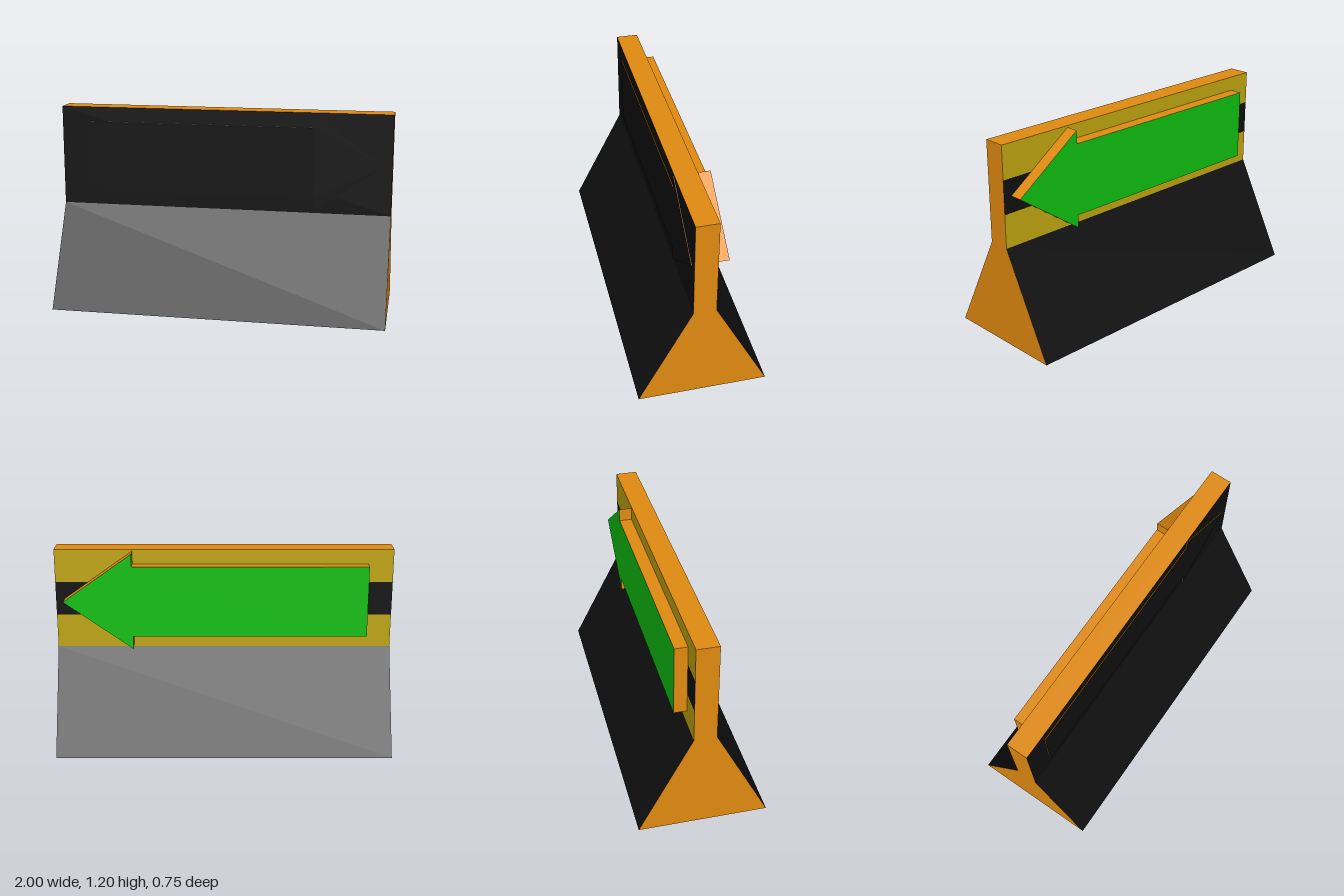
import * as THREE from 'three';

const material = (color) => new THREE.MeshStandardMaterial({ color, flatShading: true });
const orange = material(0xe08a10);
const black = material(0x101010);
const yellow = material(0xbfa510);
const green = material(0x10c010);

// Prism along z from a counter-clockwise outline of [x, y, material, name];
// the material and name belong to the side that starts at that corner.
function prism(name, outline, z0, z1, backMaterial, frontMaterial) {
  const group = new THREE.Group();
  group.name = name;
  const add = (geometry, mat, part) => {
    const mesh = new THREE.Mesh(geometry, mat);
    mesh.name = part;
    group.add(mesh);
    return mesh;
  };

  // End caps
  const shape = new THREE.Shape(outline.map(([x, y]) => new THREE.Vector2(x, y)));
  add(new THREE.ShapeGeometry(shape).translate(0, 0, z1), frontMaterial, name + 'FrontCap');
  const back = new THREE.ShapeGeometry(shape).translate(0, 0, z0);
  back.setIndex(Array.from(back.index.array).reverse());
  back.computeVertexNormals();
  add(back, backMaterial, name + 'BackCap');

  // One strip per side
  outline.forEach(([ax, ay, mat, part], i) => {
    const [bx, by] = outline[(i + 1) % outline.length];
    const strip = new THREE.BufferGeometry();
    strip.setAttribute('position', new THREE.Float32BufferAttribute(
      [ax, ay, z0, bx, by, z0, bx, by, z1, ax, ay, z1], 3));
    strip.setIndex([0, 1, 2, 0, 2, 3]);
    strip.computeVertexNormals();
    add(strip, mat, part);
  });
  return group;
}

export function createModel() {
  const model = new THREE.Group();
  model.name = 'roadBarrier';

  // Barrier: flared base and thin wall, cross-section turned to run along x
  const t = 0.065;
  const barrier = prism('barrier', [
    [-0.374, 0, orange, 'underside'],
    [0.374, 0, black, 'backSlope'],
    [t, 0.6, yellow, 'lowerBackStripe'],
    [t, 0.8, black, 'middleBackStripe'],
    [t, 1.0, yellow, 'upperBackStripe'],
    [t, 1.2, orange, 'wallTop'],
    [-t, 1.2, black, 'wallFront'],
    [-t, 0.6, black, 'frontSlope'],
  ], -1, 1, orange, orange);
  barrier.rotation.y = Math.PI / 2;
  model.add(barrier);

  // Arrow sign set through the wall, standing out at the back
  const side = (x, y) => [x, y, orange, 'arrowEdge'];
  model.add(prism('arrow', [
    side(-0.85, 0.685), side(0.54, 0.685), side(0.54, 0.607),
    side(0.95, 0.898),
    side(0.54, 1.19), side(0.54, 1.112), side(-0.85, 1.112),
  ], -0.14, 0.069, green, black));

  return model;
}
